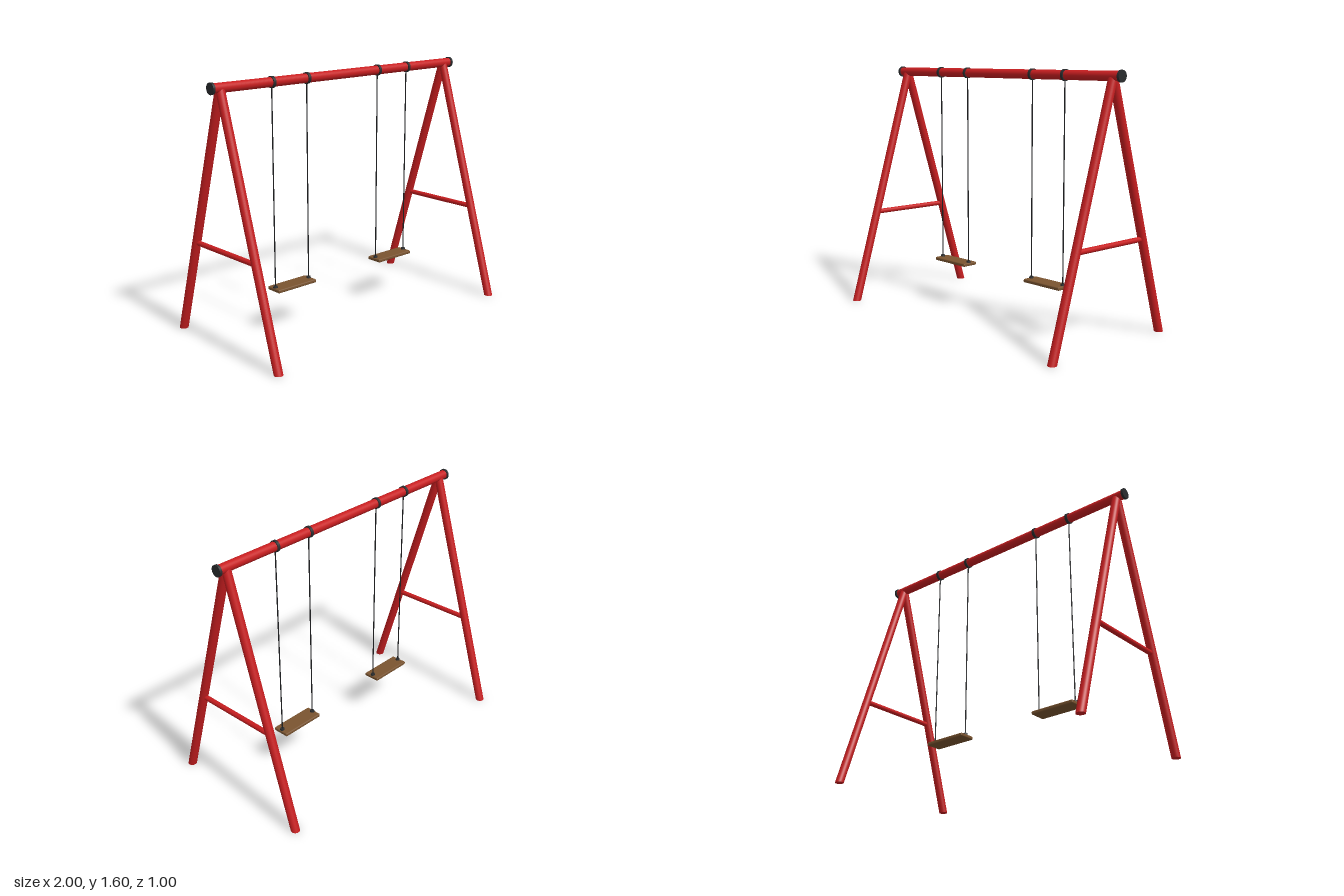
import * as THREE from 'three';
import { RoundedBoxGeometry } from 'three/addons/geometries/RoundedBoxGeometry.js';

const BEAM_Y = 1.565, FOOT_Z = 0.473, LEG_X = 0.933;

export function createModel() {
  const model = new THREE.Group();
  model.name = 'swingSet';

  const material = (name, color) => {
    const m = new THREE.MeshStandardMaterial({ color });
    m.name = name;
    return m;
  };
  const red = material('redPaint', 0xc81e20);
  const dark = material('darkRubber', 0x2a2c2e);
  const chainDark = material('chainSteel', 0x1e1f21);
  const wood = material('wood', 0x7a5430);

  const add = (name, geometry, mat, x, y, z, parent = model) => {
    const mesh = new THREE.Mesh(geometry, mat);
    mesh.name = name;
    mesh.position.set(x, y, z);
    parent.add(mesh);
    return mesh;
  };
  // Cylinder lying along x
  const tubeX = (r, length) => new THREE.CylinderGeometry(r, r, length, 32).rotateZ(Math.PI / 2);

  // Top beam with end caps
  add('topBeam', tubeX(0.029, 1.98), red, 0, BEAM_Y, 0);
  for (const s of [-1, 1]) add('beamCap', tubeX(0.035, 0.015), dark, s * 0.9925, BEAM_Y, 0);

  // Two A-frames: legs are sheared so their feet sit flat on the ground
  for (const sx of [-1, 1]) {
    const frame = new THREE.Group();
    frame.name = sx > 0 ? 'leftFrame' : 'rightFrame';
    model.add(frame);
    for (const sz of [-1, 1]) {
      const leg = new THREE.CylinderGeometry(0.0275, 0.0275, BEAM_Y, 28);
      leg.translate(0, BEAM_Y / 2, 0);
      const p = leg.attributes.position;
      for (let i = 0; i < p.count; i++) {
        p.setZ(i, p.getZ(i) + sz * FOOT_Z * (1 - p.getY(i) / BEAM_Y));
      }
      leg.computeVertexNormals();
      add(sz > 0 ? 'frontLeg' : 'backLeg', leg, red, sx * LEG_X, 0, 0, frame);
    }
    const brace = new THREE.CylinderGeometry(0.016, 0.016, 0.58, 20).rotateX(Math.PI / 2);
    add('crossBrace', brace, red, sx * LEG_X, 0.602, 0, frame);
  }

  // Two swings: seat, chains, beam clamps and seat fixings
  for (const sx of [-1, 1]) {
    const swing = new THREE.Group();
    swing.name = sx > 0 ? 'leftSwing' : 'rightSwing';
    swing.position.x = sx * 0.433;
    model.add(swing);
    add('seat', new RoundedBoxGeometry(0.302, 0.022, 0.11, 2, 0.007), wood, 0, 0.289, 0, swing);
    for (const side of [-1, 1]) {
      const x = side * 0.134;
      add('beamClamp', tubeX(0.035, 0.018), dark, x, BEAM_Y, 0, swing);
      const length = BEAM_Y - 0.03 - 0.298;
      add('chain', new THREE.CylinderGeometry(0.0038, 0.0038, length, 10), chainDark, x, 0.298 + length / 2, 0, swing);
      add('seatFixing', new THREE.CylinderGeometry(0.013, 0.015, 0.014, 16), dark, x, 0.304, 0, swing);
    }
  }
  return model;
}
